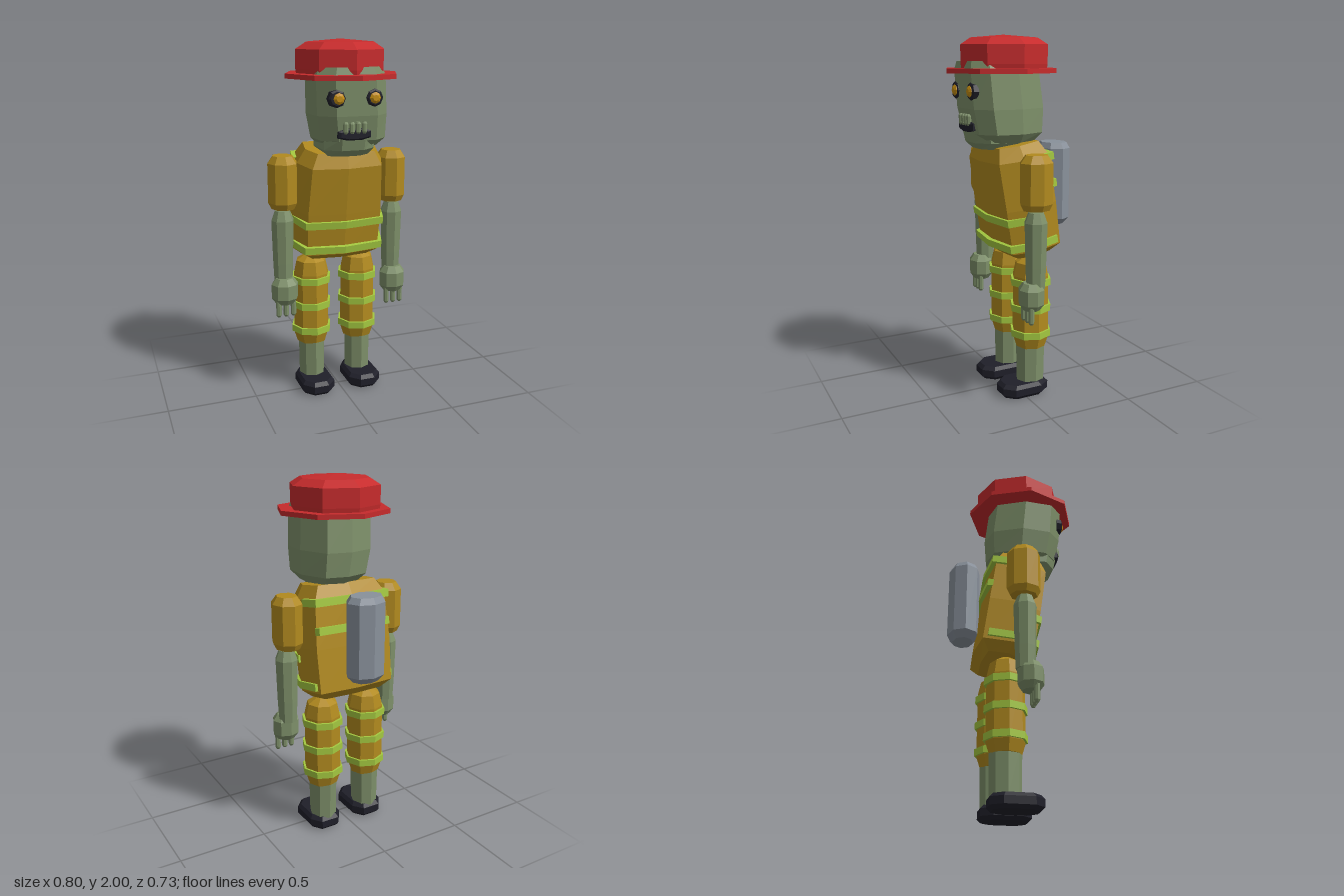
import * as THREE from 'three';

const mat = (name, color) => {
  const m = new THREE.MeshStandardMaterial({ color });
  m.name = name;
  m.flatShading = true;
  return m;
};

// Unit outlines in (x, z), running from the front round by +x to the back
const mirrorOutline = (half) => [
  ...half,
  ...half.filter(p => p[0] !== 0).reverse().map(([x, z]) => [-x, z]),
];
const OCT = Array.from({ length: 8 }, (_, i) => [Math.sin(i * Math.PI / 4), Math.cos(i * Math.PI / 4)]);
const BODY = mirrorOutline([[0, 1], [0.8, 0.87], [1, 0.1], [0.88, -0.87], [0, -1]]);
const HEAD = mirrorOutline([[0.55, 1], [0.95, 0.65], [1, -0.1], [0.65, -0.85], [0, -1]]);
const BOOT = mirrorOutline([[0.45, 1], [1, 0.6], [1, -0.55], [0.55, -1]]);

// Skins an outline through rings [y, rx, rz, cx, cz] and closes both ends
function loft(outline, rings) {
  const pos = [];
  const n = outline.length;
  const point = (r, i) => {
    const [y, rx, rz = rx, cx = 0, cz = 0] = r;
    const [x, z] = outline[i % n];
    return [cx + x * rx, y, cz + z * rz];
  };
  const centre = ([y, , , cx = 0, cz = 0]) => [cx, y, cz];
  const first = rings[0], last = rings[rings.length - 1];
  for (let i = 0; i < n; i++) {
    for (let k = 0; k < rings.length - 1; k++) {
      const a = point(rings[k], i), b = point(rings[k], i + 1);
      const c = point(rings[k + 1], i + 1), d = point(rings[k + 1], i);
      pos.push(...a, ...b, ...c, ...a, ...c, ...d);
    }
    pos.push(...centre(first), ...point(first, i + 1), ...point(first, i));
    pos.push(...centre(last), ...point(last, i), ...point(last, i + 1));
  }
  const g = new THREE.BufferGeometry();
  g.setAttribute('position', new THREE.Float32BufferAttribute(pos, 3));
  g.computeVertexNormals();
  return g;
}

function add(parent, name, geometry, material, x = 0, y = 0, z = 0) {
  const mesh = new THREE.Mesh(geometry, material);
  mesh.name = name;
  mesh.position.set(x, y, z);
  parent.add(mesh);
  return mesh;
}

function group(parent, name, x = 0, y = 0, z = 0) {
  const g = new THREE.Group();
  g.name = name;
  g.position.set(x, y, z);
  parent.add(g);
  return g;
}

export function createModel() {
  const red = mat('helmet red', 0xc62b2c);
  const gold = mat('coat gold', 0xb18a1f);
  const green = mat('skin green', 0x7d8f69);
  const lime = mat('stripe lime', 0xa3c840);
  const grey = mat('tank grey', 0x89919b);
  const black = mat('boot black', 0x1f1f29);
  const amber = mat('eye amber', 0xc48d12);

  const model = new THREE.Group();
  model.name = 'firefighter';

  // Helmet: wide flat brim and faceted crown
  const helmet = group(model, 'helmet');
  add(helmet, 'brim', loft(OCT, [[1.803, 0.31], [1.828, 0.31]]), red, 0, 0, 0.053);
  add(helmet, 'crown', loft(OCT, [
    [1.825, 0.243], [1.85, 0.247], [1.95, 0.247], [1.985, 0.19], [2, 0.01],
  ]), red, 0, 0, 0.036);

  // Head, leaning a little to one side, and jaw
  const head = group(model, 'head');
  add(head, 'skull', loft(HEAD, [
    [1.445, 0.15, 0.14, 0.03, 0.035], [1.49, 0.19, 0.195, 0.025, 0.043],
    [1.62, 0.203, 0.214, 0.012, 0.05], [1.82, 0.2, 0.208, 0, 0.067],
    [1.865, 0.18, 0.19, 0, 0.075],
  ]), green);
  add(head, 'jaw', loft(BOOT, [
    [1.405, 0.11, 0.1, 0, 0.1], [1.44, 0.14, 0.15, 0, 0.085], [1.505, 0.14, 0.165, 0, 0.085],
  ]), green);

  // Eyes: dark sockets with amber discs
  for (const side of [-1, 1]) {
    const eye = group(head, side > 0 ? 'leftEye' : 'rightEye', side * 0.102, 1.712, 0.265);
    eye.rotation.x = Math.PI / 2;
    add(eye, 'socket', loft(OCT, [[-0.02, 0.048], [0.008, 0.046], [0.014, 0.036]]), black);
    add(eye, 'iris', loft(OCT, [[0, 0.03], [0.017, 0.03], [0.026, 0.016]]),
      amber, side > 0 ? 0 : 0.008, 0, 0);
  }

  // Mouth with a row of teeth along the top
  const mouth = group(head, 'mouth', 0, 1.527, 0.245);
  mouth.rotation.x = Math.PI / 2;
  add(mouth, 'mouthOpening', loft(BOOT, [
    [-0.03, 0.09, 0.03], [0.012, 0.09, 0.03], [0.02, 0.075, 0.022],
  ]), black);
  const toothGeo = loft(OCT, [[-0.03, 0.009], [-0.02, 0.015], [0.02, 0.015], [0.03, 0.009]]);
  for (let i = 0; i < 4; i++) {
    add(head, 'tooth', toothGeo, green, -0.051 + i * 0.034, 1.562, 0.262);
  }

  // Coat: tilted forward, with stripes that wrap part of the way round
  const coat = group(model, 'coat', 0, 1.1, -0.025);
  coat.rotation.x = 0.15;
  add(coat, 'torso', loft(BODY, [
    [-0.285, 0.2, 0.11], [-0.24, 0.257, 0.163], [0, 0.263, 0.166],
    [0.26, 0.245, 0.165], [0.335, 0.2, 0.13],
  ]), gold);
  const stripe = (name, y, outline) =>
    add(coat, name, loft(outline, [[y - 0.02, 1], [y + 0.02, 1]]), lime);
  stripe('chestStripe', -0.06, [[-0.27, 0], [-0.225, 0.155], [0, 0.18], [0.225, 0.155], [0.27, 0]]);
  stripe('waistStripe', -0.205, [
    [-0.247, -0.12], [-0.27, 0.015], [-0.225, 0.16], [0, 0.188], [0.225, 0.16], [0.27, 0.015], [0.247, -0.12],
  ]);
  stripe('upperBackStripe', 0.25, [
    [0.252, -0.06], [0.228, -0.168], [0, -0.185], [-0.228, -0.168], [-0.252, -0.06],
  ]);
  stripe('lowerBackStripe', 0.1, [[0.23, -0.14], [0.22, -0.17], [0, -0.185], [-0.22, -0.17], [-0.23, -0.14]]);

  // Air tank on the back
  add(model, 'airTank', loft(OCT, [
    [0.948, 0.075, 0.058], [0.985, 0.112, 0.088], [1.385, 0.112, 0.088], [1.417, 0.09, 0.07],
  ]), grey, 0, 0, -0.279);

  // Shared limb shapes
  const sleeveGeo = loft(OCT, [[1.105, 0.065, 0.075], [1.14, 0.083, 0.093], [1.355, 0.083, 0.093], [1.395, 0.055, 0.062]]);
  const forearmGeo = loft(OCT, [[0.68, 0.052], [0.8, 0.057], [1.04, 0.063], [1.095, 0.042]]);
  const handGeo = loft(OCT, [[0.565, 0.05, 0.045], [0.6, 0.076, 0.07], [0.68, 0.076, 0.07], [0.715, 0.05, 0.045]]);
  const fingerGeo = loft(OCT, [[-0.05, 0.009], [-0.038, 0.016], [0.05, 0.016]]);
  const trouserGeo = loft(OCT, [
    [0.282, 0.085], [0.345, 0.105], [0.7, 0.103], [0.775, 0.086], [0.808, 0.03],
  ]);
  const cuffGeo = loft(OCT, [[-0.019, 0.117], [0.019, 0.117]]);
  const shinGeo = loft(OCT, [[0.07, 0.075, 0.083], [0.3, 0.078, 0.087]]);
  const bootGeo = loft(BOOT, [
    [0, 0.08, 0.12], [0.02, 0.095, 0.139], [0.06, 0.095, 0.139], [0.08, 0.08, 0.12],
  ]);

  for (const side of [-1, 1]) {
    const label = side > 0 ? 'left' : 'right';

    // Arm: sleeve, forearm, hand and fingers
    const arm = group(model, label + 'Arm', side * 0.32, 0, 0);
    add(arm, 'sleeve', sleeveGeo, gold, side * -0.003, 0, 0);
    add(arm, 'forearm', forearmGeo, green, side * 0.004, 0, 0.005);
    add(arm, 'hand', handGeo, green, side * 0.005, 0, 0.031);
    for (const i of [-1, 0, 1]) {
      add(arm, 'finger', fingerGeo, green, side * 0.005 + i * 0.042, 0.543, 0.052);
    }

    // Leg: trouser with three stripes, shin and boot
    const leg = group(model, label + 'Leg', side * 0.142, 0, -0.062);
    add(leg, 'trouser', trouserGeo, gold);
    for (const y of [0.367, 0.517, 0.667]) add(leg, 'trouserStripe', cuffGeo, lime, 0, y, 0);
    add(leg, 'shin', shinGeo, green);
    add(leg, 'boot', bootGeo, black, 0, 0, 0.052);
  }

  return model;
}
